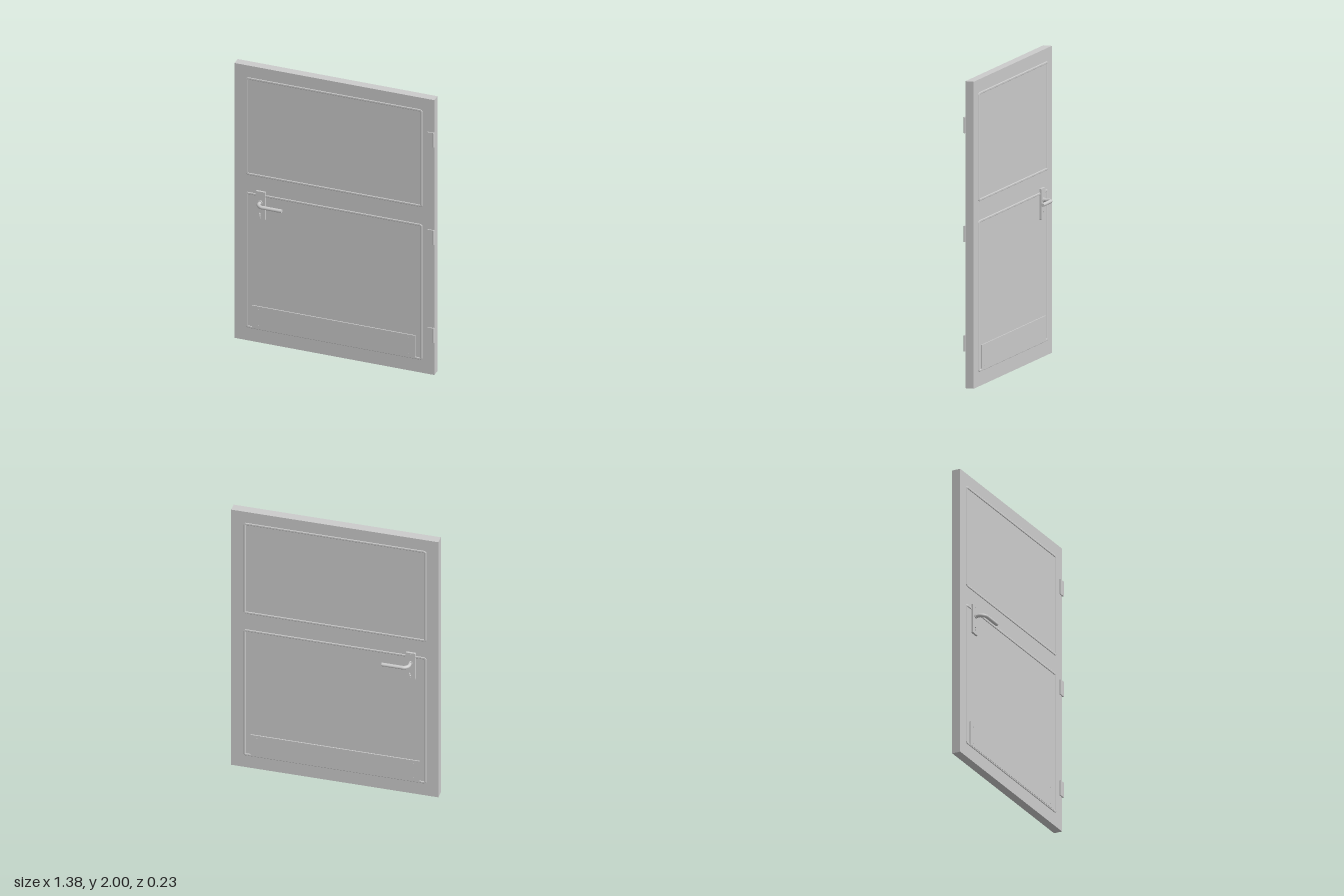
import * as THREE from 'three';

const T = 0.029; // half thickness of the leaf
const CX = -0.002; // middle of the leaf
const grey = new THREE.MeshStandardMaterial({ color: 0xcccccc });

function add(parent, name, geometry, x = 0, y = 0, z = 0) {
  const mesh = new THREE.Mesh(geometry, grey);
  mesh.name = name;
  mesh.position.set(x, y, z);
  parent.add(mesh);
  return mesh;
}

// Rectangle with cut corners
function cutRect(target, w, h, c) {
  const x = w / 2, y = h / 2;
  target.moveTo(-x + c, -y);
  target.lineTo(x - c, -y).lineTo(x, -y + c).lineTo(x, y - c).lineTo(x - c, y);
  target.lineTo(-x + c, y).lineTo(-x, y - c).lineTo(-x, -y + c);
  target.closePath();
  return target;
}

// Low ridge framing one panel, with sloping sides
function mouldingGeometry(w, h) {
  const slope = 0.004;
  const shape = cutRect(new THREE.Shape(), w - 2 * slope, h - 2 * slope, 0.009);
  shape.holes.push(cutRect(new THREE.Path(), w - 0.024, h - 0.024, 0.003));
  const g = new THREE.ExtrudeGeometry(shape, {
    depth: 0.002, bevelEnabled: true, bevelSize: slope, bevelThickness: 0.004, bevelSegments: 2,
  });
  return g.translate(0, 0, -0.001);
}

function screw(parent, x, y, z, r) {
  add(parent, 'screw', new THREE.CylinderGeometry(r, r, 0.004, 12).rotateX(Math.PI / 2), x, y, z);
}

// Handle plate with keyhole, collar and bent lever; s is the side (+1 front, -1 back)
function handleSet(s) {
  const g = new THREE.Group();
  g.name = 'handleSet';
  const px = -0.507, py = 1.004, depth = 0.014;

  const plate = cutRect(new THREE.Shape(), 0.066, 0.204, 0.003);
  const hole = new THREE.Path();
  hole.absarc(0, -0.056, 0.007, -Math.PI / 3, Math.PI * 4 / 3, false);
  hole.lineTo(-0.0035, -0.078).lineTo(0.0035, -0.078);
  hole.closePath();
  plate.holes.push(hole);
  const plateGeo = new THREE.ExtrudeGeometry(plate, { depth, bevelEnabled: false, curveSegments: 10 });
  add(g, 'handlePlate', plateGeo, px, py, s > 0 ? T : -T - depth);
  for (const dy of [-0.091, 0.089]) screw(g, px, py + dy, s * (T + depth), 0.004);

  const y = 1.028, reach = 0.104, bend = 0.036;
  add(g, 'handleCollar', new THREE.CylinderGeometry(0.016, 0.016, 0.01, 24).rotateX(Math.PI / 2),
    px, y, s * (T + depth + 0.002));

  const path = new THREE.CurvePath();
  const p = (x, z) => new THREE.Vector3(x, y, s * z);
  path.add(new THREE.LineCurve3(p(px, T), p(px, reach - bend)));
  path.add(new THREE.CubicBezierCurve3(p(px, reach - bend), p(px, reach - bend * 0.45),
    p(px + bend * 0.55, reach), p(px + bend, reach)));
  path.add(new THREE.LineCurve3(p(px + bend, reach), p(-0.334, reach)));
  add(g, 'handleLever', new THREE.TubeGeometry(path, 48, 0.012, 16));
  add(g, 'leverEnd', new THREE.CircleGeometry(0.012, 16).rotateY(Math.PI / 2), -0.334, y, s * reach);
  return g;
}

// Hinge leaf with its rolled knuckle
function hinge(y) {
  const g = new THREE.Group();
  g.name = 'hinge';
  const h = 0.104;
  add(g, 'hingeLeaf', new THREE.BoxGeometry(0.042, h, 0.007), 0.664, y, 0.0365);
  add(g, 'hingeKnuckle', new THREE.CylinderGeometry(0.007, 0.007, h, 16), 0.683, y, 0.035);
  return g;
}

export function createModel() {
  const door = new THREE.Group();
  door.name = 'door';
  add(door, 'doorLeaf', new THREE.BoxGeometry(1.376, 2, 2 * T), CX, 1, 0);

  for (const s of [1, -1]) {
    const face = new THREE.Group();
    face.name = s > 0 ? 'frontFittings' : 'backFittings';
    door.add(face);

    // Panel mouldings
    for (const [name, y0, y1] of [['upperMoulding', 1.205, 1.915], ['lowerMoulding', 0.093, 1.081]]) {
      add(face, name, mouldingGeometry(1.216, y1 - y0), CX - 0.001, (y0 + y1) / 2, s > 0 ? T : -T);
    }

    // Kick plate with four screws
    add(face, 'kickPlate', new THREE.BoxGeometry(1.122, 0.162, 0.007), CX - 0.003, 0.183, s * (T + 0.0035));
    for (const x of [-0.525, 0.515]) for (const y of [0.125, 0.241]) screw(face, x, y, s * (T + 0.0065), 0.004);

    face.add(handleSet(s));
  }

  // Hinges on the front only
  for (const y of [0.291, 1.004, 1.713]) door.add(hinge(y));
  return door;
}
